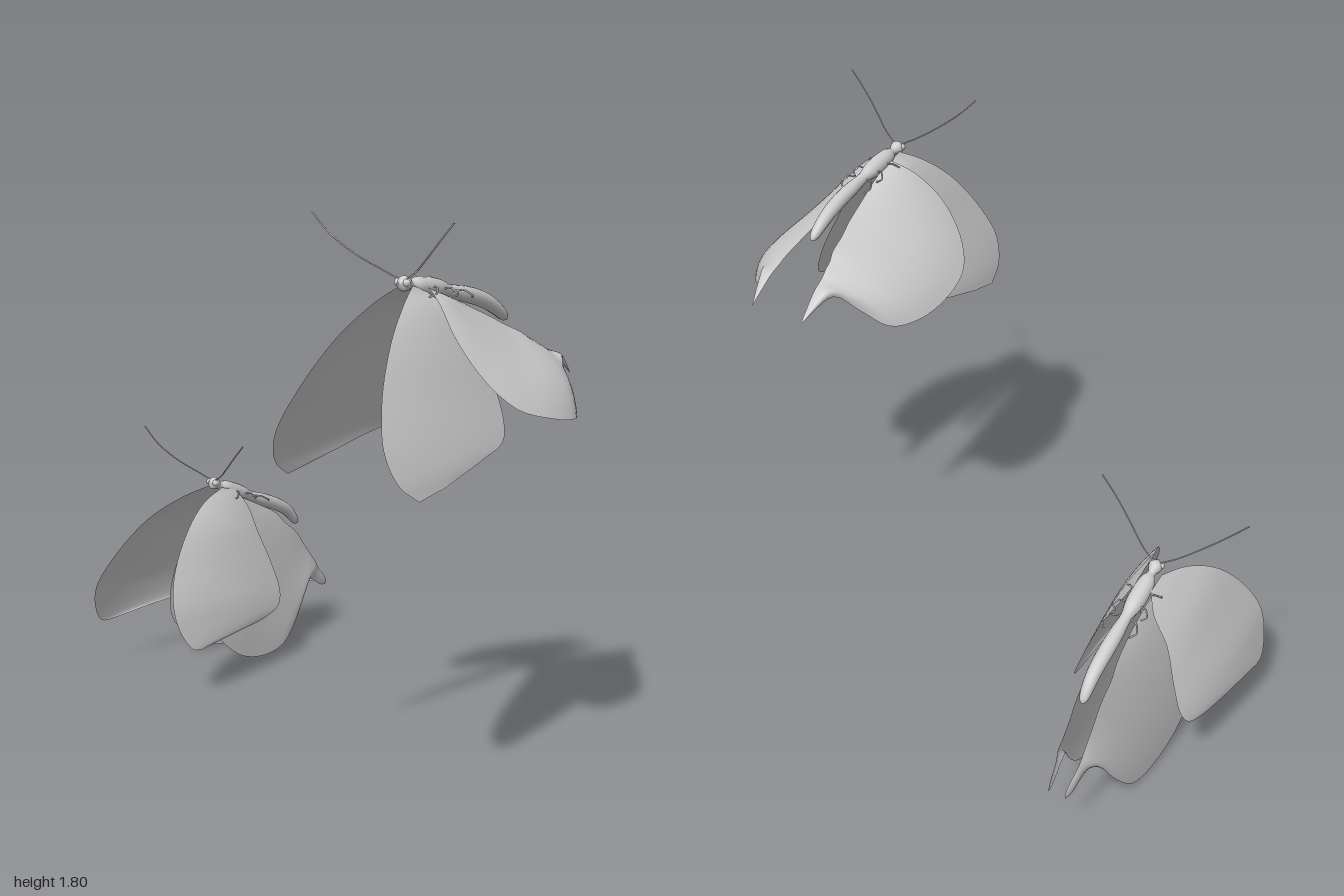
import * as THREE from 'three';

const V = (p) => new THREE.Vector3(...p);
const curve = (pts) => new THREE.CatmullRomCurve3(pts.map(V));
const material = new THREE.MeshStandardMaterial({ color: 0xcccccc });
const wingMaterial = new THREE.MeshStandardMaterial({ color: 0xcccccc, side: THREE.DoubleSide });

function add(group, name, geometry, mat = material) {
  const mesh = new THREE.Mesh(geometry, mat);
  mesh.name = name;
  group.add(mesh);
  return mesh;
}

// Thin wing lofted between matching points of its leading and trailing edges, bulged outward
function wing(pairs, bulge, side) {
  const lead = curve(pairs.map((p) => p[0]));
  const trail = curve(pairs.map((p) => p[1]));
  const nu = 44, nv = 10, pos = [], index = [];
  for (let i = 0; i <= nu; i++) {
    const u = i / nu;
    const a = lead.getPoint(u), b = trail.getPoint(u);
    for (let j = 0; j <= nv; j++) {
      const v = j / nv, p = a.clone().lerp(b, v);
      const lift = bulge * 4 * v * (1 - v) * Math.sin(Math.PI * u);
      pos.push(side * (p.x + lift), p.y + lift * 0.6, p.z);
      if (i < nu && j < nv) {
        const k = i * (nv + 1) + j, m = k + nv + 1;
        if (side > 0) index.push(k, k + 1, m, k + 1, m + 1, m);
        else index.push(k, m, k + 1, k + 1, m, m + 1);
      }
    }
  }
  const g = new THREE.BufferGeometry();
  g.setAttribute('position', new THREE.Float32BufferAttribute(pos, 3));
  g.setIndex(index);
  g.computeVertexNormals();
  return g;
}

// Round body turned on a lathe, then bent along a spine running from tail to head
function bodyGeometry(spine) {
  const profile = [[0, 0], [0.014, 0.03], [0.021, 0.12], [0.025, 0.3], [0.024, 0.45], [0.019, 0.58],
    [0.028, 0.66], [0.031, 0.75], [0.026, 0.85], [0.013, 0.9], [0.022, 0.94], [0.021, 0.97], [0, 1]];
  const line = new THREE.SplineCurve(profile.map((p) => new THREE.Vector2(...p))).getPoints(40);
  line.forEach((p) => { p.x = Math.max(p.x, 0); });
  const g = new THREE.LatheGeometry(line, 14);
  const pos = g.attributes.position, xAxis = new THREE.Vector3(1, 0, 0);
  for (let i = 0; i < pos.count; i++) {
    const t = THREE.MathUtils.clamp(pos.getY(i), 0, 1);
    const c = spine.getPointAt(t);
    const n = xAxis.clone().cross(spine.getTangentAt(t)).normalize();
    c.addScaledVector(n, pos.getZ(i));
    pos.setXYZ(i, pos.getX(i), c.y, c.z);
  }
  g.computeVertexNormals();
  return g;
}

function butterfly({ name, x, spine, foreWing, hindWing, foreBulge, hindBulge }) {
  const group = new THREE.Group();
  group.name = name;
  group.position.x = x;
  const line = curve(spine);
  const head = line.getPointAt(0.96);
  add(group, 'body', bodyGeometry(line));

  for (const side of [1, -1]) {
    const label = side > 0 ? 'left' : 'right';
    add(group, label + 'ForeWing', wing(foreWing, foreBulge, side), wingMaterial);
    add(group, label + 'HindWing', wing(hindWing, hindBulge, side), wingMaterial);

    const eye = add(group, label + 'Eye', new THREE.SphereGeometry(0.012, 12, 8));
    eye.position.set(side * 0.016, head.y + 0.003, head.z + 0.004);

    // Antenna sweeping up, out and forward
    const antenna = [[0.008, 0.01, 0], [0.06, 0.036, 0.02], [0.13, 0.08, 0.06], [0.2, 0.135, 0.09], [0.262, 0.195, 0.1]]
      .map(([a, b, c]) => [side * a, head.y + b, head.z + c]);
    add(group, label + 'Antenna', new THREE.TubeGeometry(curve(antenna), 24, 0.0025, 5));

    // Three small bent legs
    [0.58, 0.68, 0.76].forEach((t, i) => {
      const c = line.getPointAt(t), dz = [-0.04, -0.025, 0.03][i];
      const leg = new THREE.CurvePath();
      const pts = [[0.015, 0, 0], [0.048, 0.004, dz * 0.4], [0.062, -0.012, dz], [0.045, -0.022, dz * 1.5]]
        .map(([a, b, d]) => V([side * a, c.y + b, c.z + d]));
      for (let k = 0; k < 3; k++) leg.add(new THREE.LineCurve3(pts[k], pts[k + 1]));
      add(group, label + 'Leg' + (i + 1), new THREE.TubeGeometry(leg, 12, 0.003, 5));
    });
  }
  return group;
}

export function createModel() {
  const model = new THREE.Group();
  model.name = 'butterflies';

  // Upper butterfly, hind wings spread wide. Wing rows: [leading point, trailing point]
  model.add(butterfly({
    name: 'upperButterfly', x: 0.632, foreBulge: 0.012, hindBulge: 0.035,
    spine: [[0, 1.45, -0.092], [0, 1.498, -0.02], [0, 1.532, 0.06], [0, 1.57, 0.22], [0, 1.59, 0.32], [0, 1.61, 0.43]],
    foreWing: [
      [[0.02, 1.6, 0.39], [0.02, 1.58, 0.33]],
      [[0.055, 1.55, 0.475], [0.07, 1.52, 0.28]],
      [[0.1, 1.46, 0.58], [0.12, 1.4, 0.22]],
      [[0.155, 1.32, 0.68], [0.17, 1.26, 0.17]],
      [[0.205, 1.19, 0.727], [0.215, 1.15, 0.2]],
      [[0.235, 1.1, 0.7], [0.235, 1.11, 0.33]],
      [[0.25, 1.045, 0.63], [0.25, 1.065, 0.52]],
    ],
    hindWing: [
      [[0.03, 1.59, 0.33], [0.02, 1.575, 0.29]],
      [[0.1, 1.55, 0.365], [0.03, 1.55, 0.22]],
      [[0.19, 1.46, 0.4], [0.04, 1.51, 0.13]],
      [[0.28, 1.35, 0.38], [0.05, 1.475, 0.05]],
      [[0.34, 1.27, 0.31], [0.06, 1.45, 0]],
      [[0.363, 1.225, 0.17], [0.07, 1.42, -0.07]],
      [[0.345, 1.2, 0.03], [0.08, 1.4, -0.1]],
      [[0.29, 1.2, -0.06], [0.085, 1.385, -0.13]],
      [[0.21, 1.26, -0.115], [0.09, 1.365, -0.16]],
      [[0.15, 1.322, -0.175], [0.093, 1.345, -0.2]],
      [[0.12, 1.29, -0.25], [0.098, 1.305, -0.25]],
      [[0.107, 1.265, -0.292], [0.103, 1.27, -0.29]],
    ],
  }));

  // Lower butterfly, wings folded steeply down
  model.add(butterfly({
    name: 'lowerButterfly', x: -0.735, foreBulge: 0.02, hindBulge: 0.015,
    spine: [[0, 0.45, -0.587], [0, 0.515, -0.53], [0, 0.55, -0.47], [0, 0.605, -0.34], [0, 0.65, -0.23], [0, 0.705, -0.115]],
    foreWing: [
      [[0.03, 0.68, -0.15], [0.03, 0.66, -0.22]],
      [[0.06, 0.65, -0.03], [0.06, 0.6, -0.252]],
      [[0.11, 0.58, 0.1], [0.115, 0.5, -0.255]],
      [[0.165, 0.45, 0.22], [0.16, 0.38, -0.28]],
      [[0.21, 0.34, 0.268], [0.195, 0.28, -0.287]],
      [[0.235, 0.25, 0.255], [0.212, 0.235, -0.26]],
      [[0.25, 0.19, 0.215], [0.225, 0.21, -0.18]],
      [[0.252, 0.18, 0.18], [0.24, 0.197, -0.02]],
    ],
    hindWing: [
      [[0.03, 0.64, -0.2], [0.03, 0.62, -0.26]],
      [[0.06, 0.56, -0.12], [0.03, 0.58, -0.34]],
      [[0.09, 0.42, -0.04], [0.035, 0.53, -0.43]],
      [[0.11, 0.27, -0.005], [0.04, 0.48, -0.48]],
      [[0.115, 0.17, -0.02], [0.04, 0.45, -0.52]],
      [[0.115, 0.07, -0.11], [0.04, 0.42, -0.55]],
      [[0.11, 0.02, -0.2], [0.04, 0.4, -0.565]],
      [[0.105, 0.003, -0.32], [0.04, 0.37, -0.585]],
      [[0.1, 0.025, -0.41], [0.04, 0.345, -0.605]],
      [[0.085, 0.11, -0.5], [0.04, 0.32, -0.625]],
      [[0.06, 0.205, -0.57], [0.04, 0.28, -0.655]],
      [[0.045, 0.222, -0.615], [0.035, 0.25, -0.675]],
      [[0.035, 0.18, -0.69], [0.03, 0.21, -0.715]],
      [[0.03, 0.178, -0.72], [0.03, 0.184, -0.725]],
    ],
  }));
  return model;
}
